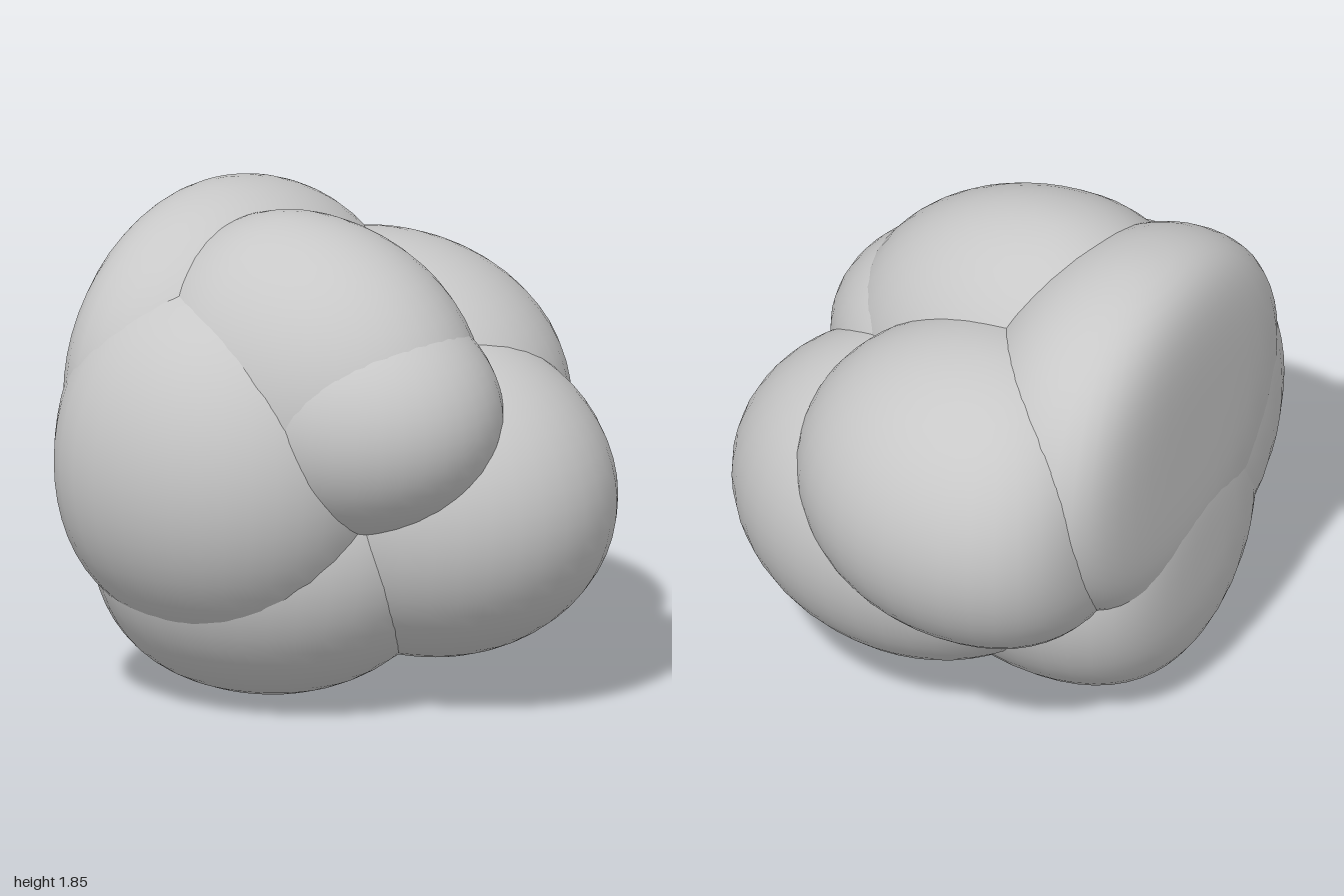
import * as THREE from 'three';
import { mergeVertices } from 'three/addons/utils/BufferGeometryUtils.js';

// Each cell: name, centre, radii [x, y, front z], back depth, back flatness (1 = round)
const CELLS = [
  ['topFrontCell', [-0.21, 1.2, -0.18], [0.56, 0.63, 0.78], 0.6, 1],
  ['frontUpperCell', [-0.22, 1.15, 0.1], [0.49, 0.46, 0.6], 0.5, 1],
  ['frontLowerCell', [0.2, 0.765, 0.1], [0.62, 0.615, 0.76], 0.7, 1],
  ['leftCell', [0.36, 1.03, -0.25], [0.64, 0.59, 0.75], 0.52, 1.5],
  ['rightCell', [-0.42, 0.95, -0.34], [0.58, 0.67, 0.67], 0.5, 1.8],
  ['backCell', [-0.07, 1.16, -0.59], [0.79, 0.69, 0.56], 0.27, 2.2],
  ['bottomCell', [-0.14, 0.625, -0.38], [0.65, 0.625, 0.78], 0.48, 1.65],
];

// Ellipsoid whose back half can be pressed flat
function cellGeometry([rx, ry, rz], depth, flatness) {
  const sphere = new THREE.SphereGeometry(1, 40, 28);
  sphere.deleteAttribute('uv');
  sphere.deleteAttribute('normal');
  const geometry = mergeVertices(sphere, 1e-4);
  const p = geometry.attributes.position;
  for (let i = 0; i < p.count; i++) {
    const z = p.getZ(i);
    const back = Math.max(0, 1 - Math.min(1, -z));
    const newZ = z >= 0 ? z * rz : -depth * (1 - Math.pow(back, flatness));
    p.setXYZ(i, p.getX(i) * rx, p.getY(i) * ry, newZ);
  }
  geometry.computeVertexNormals();
  return geometry;
}

export function createModel() {
  const model = new THREE.Group();
  model.name = 'cellCluster';
  const grey = new THREE.MeshStandardMaterial({ color: 0xc8c8c8 });
  grey.name = 'grey';

  // Overlapping cells meet along creases
  for (const [name, centre, radii, depth, flatness] of CELLS) {
    const cell = new THREE.Mesh(cellGeometry(radii, depth, flatness), grey);
    cell.name = name;
    cell.position.set(...centre);
    model.add(cell);
  }
  return model;
}
